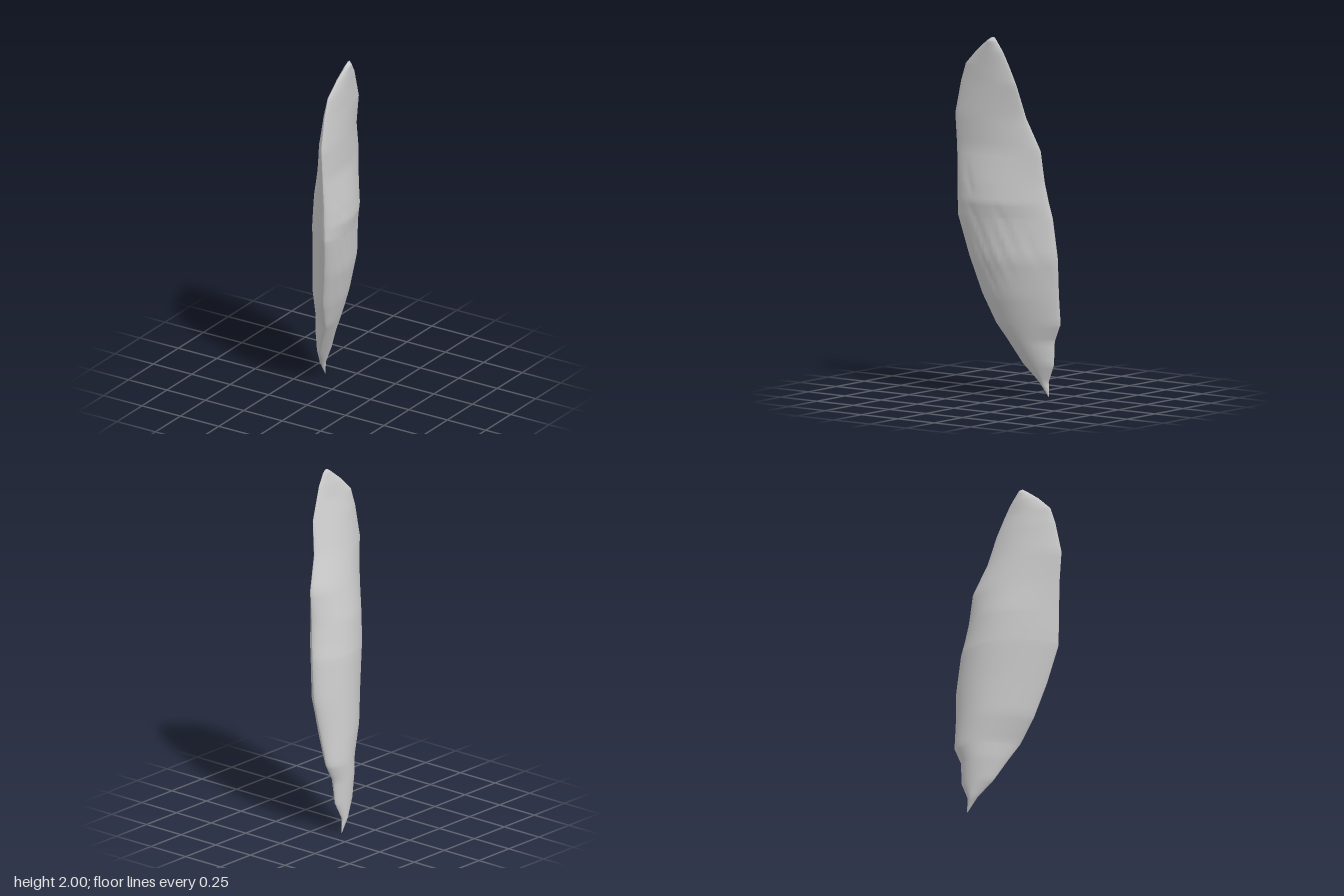
import * as THREE from 'three';

// Cross-sections, bottom to top:
// height, back edge (x, z), front edge (x, z), smallest x, largest x
const SECTIONS = [
  [0.00, -0.146, -0.160, -0.146, -0.155, -0.146, -0.146],
  [0.08, -0.147, -0.155, -0.135, -0.100, -0.160, -0.125],
  [0.18, -0.135, -0.200, -0.095, -0.020, -0.163, -0.080],
  [0.31, -0.130, -0.208, -0.040, 0.040, -0.167, -0.020],
  [0.41, -0.120, -0.255, 0.010, 0.085, -0.170, 0.025],
  [0.57, -0.090, -0.265, 0.040, 0.155, -0.160, 0.078],
  [0.78, -0.055, -0.283, 0.085, 0.210, -0.143, 0.130],
  [1.00, -0.030, -0.268, 0.120, 0.260, -0.125, 0.156],
  [1.09, -0.015, -0.252, 0.120, 0.263, -0.110, 0.168],
  [1.20, 0.000, -0.236, 0.120, 0.265, -0.093, 0.160],
  [1.38, 0.020, -0.226, 0.115, 0.272, -0.050, 0.138],
  [1.56, 0.055, -0.155, 0.115, 0.285, 0.000, 0.140],
  [1.74, 0.095, -0.120, 0.112, 0.248, 0.045, 0.136],
  [1.84, 0.105, -0.080, 0.112, 0.215, 0.073, 0.137],
  [1.92, 0.115, -0.045, 0.118, 0.135, 0.090, 0.138],
  [1.98, 0.120, -0.005, 0.125, 0.060, 0.107, 0.138],
  [2.00, 0.120, 0.010, 0.120, 0.030, 0.120, 0.120],
];

// Slanting scratches on the flatter face: [z - 0.4 y at the line, lowest y, highest y]
const GROOVES = [[-0.28, 0.6, 1.15], [-0.36, 0.65, 1.0], [-0.22, 0.55, 0.95],
  [-0.44, 0.75, 1.1], [-0.52, 0.6, 1.0], [-0.32, 1.1, 1.3]];

const COLS = 40, STEPS = 5;
const lerp = THREE.MathUtils.lerp;
const ts = Array.from({ length: COLS + 1 }, (_, i) => 0.5 - 0.5 * Math.cos(Math.PI * i / COLS));
const bulge = t => Math.pow(Math.max(0, Math.sin(Math.PI * t)), 0.65);

function grooveDepth(y, z) {
  let depth = 0;
  for (const [q, low, high] of GROOVES) {
    if (y < low || y > high) continue;
    const fade = Math.sin(Math.PI * (y - low) / (high - low));
    depth += 0.008 * fade * Math.exp(-(((z - 0.4 * y - q) / 0.012) ** 2));
  }
  return depth;
}

// One broad face from the back edge to the front edge; side is +1 or -1 along x
function makeFace(name, side, material) {
  const positions = [], index = [];
  const rows = (SECTIONS.length - 1) * STEPS;
  for (let r = 0; r <= rows; r++) {
    const k = Math.min(Math.floor(r / STEPS), SECTIONS.length - 2);
    const f = r / STEPS - k;
    const [y, ax, az, bx, bz, low, high] = SECTIONS[k].map((v, i) => lerp(v, SECTIONS[k + 1][i], f));
    const limit = side > 0 ? high : low;
    // Largest bulge that stays within the limit
    let amount = Infinity;
    for (const t of ts.slice(1, -1)) {
      amount = Math.min(amount, Math.max(0, (limit - lerp(ax, bx, t)) * side) / bulge(t));
    }
    for (const t of ts) {
      const z = lerp(az, bz, t);
      const cut = side > 0 ? grooveDepth(y, z) * bulge(t) : 0;
      positions.push(lerp(ax, bx, t) + side * (amount * bulge(t) - cut), y, z);
    }
  }
  const w = COLS + 1;
  for (let r = 0; r < rows; r++) {
    for (let c = 0; c < COLS; c++) {
      const a = r * w + c, b = a + 1, d = a + w, e = d + 1;
      if (side > 0) index.push(a, d, b, b, d, e);
      else index.push(a, b, d, b, e, d);
    }
  }
  const geometry = new THREE.BufferGeometry();
  geometry.setAttribute('position', new THREE.Float32BufferAttribute(positions, 3));
  geometry.setIndex(index);
  geometry.computeVertexNormals();
  const mesh = new THREE.Mesh(geometry, material);
  mesh.name = name;
  return mesh;
}

export function createModel() {
  const group = new THREE.Group();
  group.name = 'stoneShard';
  const material = new THREE.MeshStandardMaterial({ color: 0xcccccc, side: THREE.DoubleSide });
  group.add(makeFace('scratchedFace', 1, material), makeFace('roundedFace', -1, material));
  return group;
}
